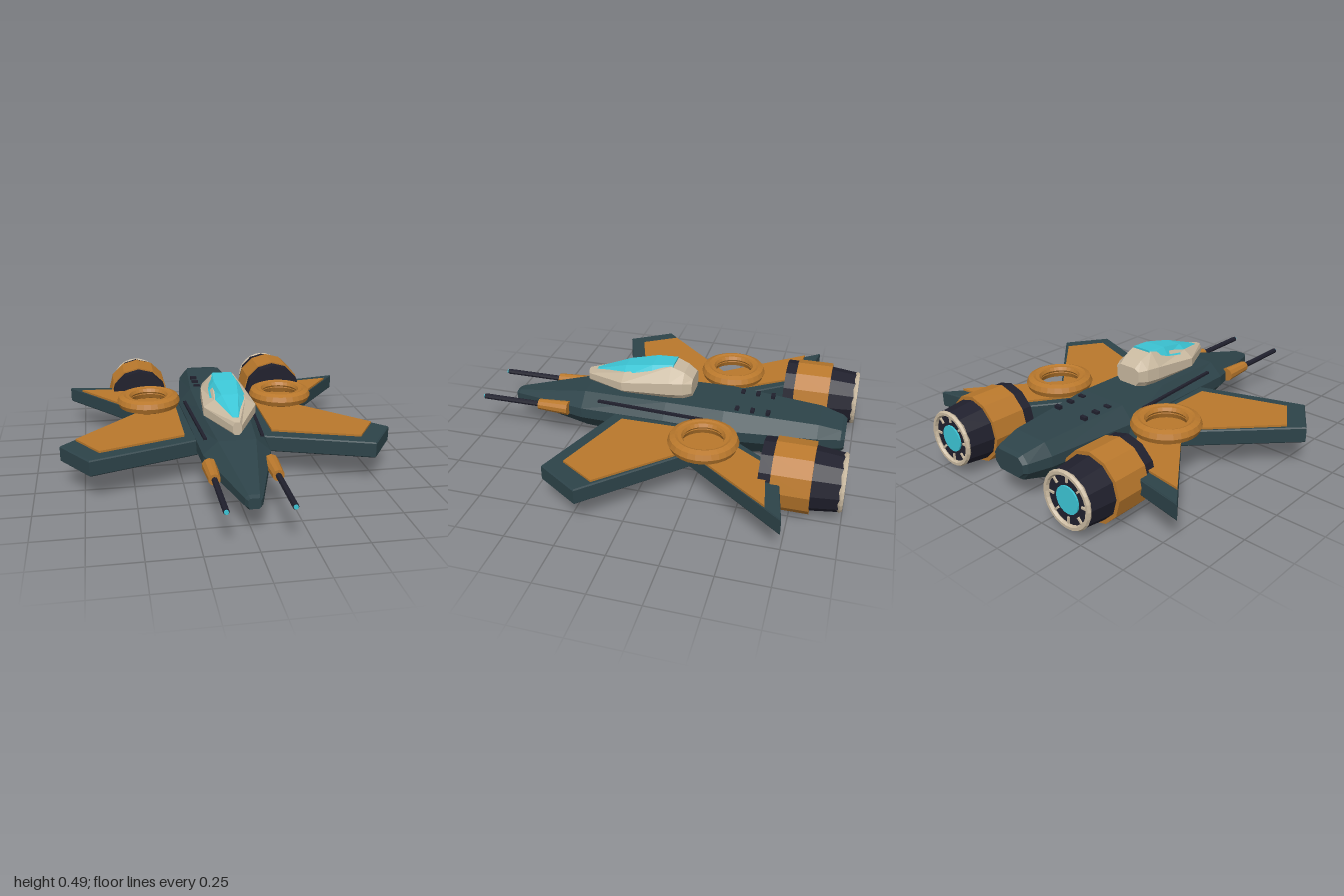
import * as THREE from 'three';

const paint = (name, color, extra = {}) => {
  const m = new THREE.MeshStandardMaterial({ color, ...extra });
  m.name = name;
  return m;
};

// Loft through mirrored sections, front to back; each is [z, [x, y]...] for the +x half, bottom to top
function loft(sections) {
  const rings = sections.map(([z, ...half]) => [
    ...half.map(([x, y]) => [x, y, z]),
    ...half.slice().reverse().map(([x, y]) => [-x, y, z]),
  ]);
  const pos = [];
  const tri = (a, b, c) => pos.push(...a, ...b, ...c);
  const n = rings[0].length;
  for (let r = 0; r < rings.length - 1; r++) {
    const f = rings[r], k = rings[r + 1];
    for (let i = 0; i < n; i++) {
      const j = (i + 1) % n;
      tri(f[i], k[i], k[j]);
      tri(f[i], k[j], f[j]);
    }
  }
  const first = rings[0], last = rings[rings.length - 1];
  for (let i = 1; i < n - 1; i++) {
    tri(first[0], first[i], first[i + 1]);
    tri(last[0], last[i + 1], last[i]);
  }
  const g = new THREE.BufferGeometry();
  g.setAttribute('position', new THREE.Float32BufferAttribute(pos, 3));
  g.computeVertexNormals();
  return g;
}

// Horizontal slab with an [x, z] outline, its top at y
function slab(points, side, y, thickness, bevel = 0) {
  const shape = new THREE.Shape(points.map(([x, z]) => new THREE.Vector2(x * side, z)));
  const g = new THREE.ExtrudeGeometry(shape, {
    depth: thickness - 2 * bevel, bevelEnabled: bevel > 0,
    bevelThickness: bevel, bevelSize: bevel, bevelOffset: -bevel, bevelSegments: 1,
  });
  return g.rotateX(Math.PI / 2).translate(0, y - bevel, 0);
}

// Cylinder along z from zBack to zFront
function tubeZ(rFront, rBack, zFront, zBack, sides = 12) {
  return new THREE.CylinderGeometry(rFront, rBack, zFront - zBack, sides)
    .rotateX(Math.PI / 2).translate(0, 0, (zFront + zBack) / 2);
}

export function createModel() {
  const teal = paint('hull teal', 0x2d4349, { flatShading: true });
  const orange = paint('burnt orange', 0xb9782c, { flatShading: true });
  const dark = paint('dark metal', 0x20202d, { flatShading: true });
  const tan = paint('pale tan', 0xc9b9a0, { flatShading: true });
  const cyan = paint('glass cyan', 0x3cc6d6, { flatShading: true });

  const model = new THREE.Group();
  model.name = 'spacecraft';
  const add = (parent, name, geo, mat, x = 0, y = 0, z = 0) => {
    const m = new THREE.Mesh(geo, mat);
    m.name = name;
    m.position.set(x, y, z);
    parent.add(m);
    return m;
  };

  // Octagonal fuselage tapering to nose and tail
  add(model, 'fuselage', loft([
    [0.86, [0.022, 0.138], [0.03, 0.15], [0.03, 0.18], [0.022, 0.19]],
    [0.84, [0.026, 0.13], [0.042, 0.148], [0.042, 0.185], [0.026, 0.2]],
    [0.42, [0.09, 0.08], [0.17, 0.17], [0.17, 0.225], [0.095, 0.292]],
    [-0.04, [0.105, 0.057], [0.19, 0.175], [0.19, 0.235], [0.13, 0.313]],
    [-0.35, [0.11, 0.06], [0.205, 0.18], [0.205, 0.235], [0.135, 0.313]],
    [-0.83, [0.09, 0.1], [0.147, 0.175], [0.147, 0.23], [0.1, 0.288]],
    [-0.945, [0.075, 0.13], [0.113, 0.175], [0.113, 0.225], [0.08, 0.262]],
    [-0.965, [0.065, 0.145], [0.098, 0.178], [0.098, 0.222], [0.07, 0.25]],
  ]), teal);

  // Cockpit tub and faceted glass
  add(model, 'cockpitTub', loft([
    [0.42, [0.012, 0.32], [0.022, 0.332], [0.022, 0.365], [0.012, 0.385]],
    [0.2, [0.09, 0.317], [0.135, 0.35], [0.135, 0.395], [0.08, 0.43]],
    [-0.05, [0.085, 0.318], [0.115, 0.35], [0.115, 0.415], [0.06, 0.488]],
    [-0.12, [0.08, 0.322], [0.1, 0.35], [0.1, 0.415], [0.055, 0.46]],
    [-0.165, [0.055, 0.33], [0.075, 0.355], [0.075, 0.41], [0.05, 0.425]],
  ]), tan);
  add(model, 'canopyGlass', loft([
    [0.375, [0.032, 0.375], [0.014, 0.395]],
    [0.2, [0.098, 0.412], [0.042, 0.455]],
    [0.05, [0.09, 0.44], [0.06, 0.484]],
    [-0.06, [0.062, 0.48], [0.05, 0.494]],
  ]), cyan);

  // Belly hatch
  add(model, 'bellyHatch', loft([
    [-0.04, [0.085, 0.03], [0.1, 0.04], [0.1, 0.06]],
    [-0.06, [0.09, 0.02], [0.105, 0.032], [0.105, 0.075]],
    [-0.335, [0.09, 0.02], [0.105, 0.032], [0.105, 0.075]],
    [-0.355, [0.085, 0.03], [0.1, 0.04], [0.1, 0.06]],
  ]), dark);

  const wingOutline = [[0.12, 0.21], [0.72, 0.415], [0.865, 0.195], [0.43, -0.245],
    [0.825, -0.75], [0.43, -0.68], [0.2, -0.36], [0.12, -0.25]];
  const panelOutline = [[0.23, 0.17], [0.67, 0.32], [0.785, 0.14], [0.425, -0.235],
    [0.755, -0.665], [0.44, -0.62], [0.23, -0.31]];

  for (const side of [1, -1]) {
    const label = side > 0 ? 'left' : 'right';

    // Forked wing with a raised panel
    add(model, label + 'Wing', slab(wingOutline, side, 0.228, 0.084, 0.006), teal);
    add(model, label + 'WingPanel', slab(panelOutline, side, 0.239, 0.012), orange);

    // Lift ring on the wing
    const lift = new THREE.Group();
    lift.name = label + 'LiftRing';
    lift.position.set(side * 0.38, 0.278, -0.3);
    model.add(lift);
    add(lift, 'outerRing', new THREE.TorusGeometry(0.14, 0.037, 8, 28).rotateX(Math.PI / 2), orange);
    add(lift, 'innerRing', new THREE.TorusGeometry(0.118, 0.019, 6, 28).rotateX(Math.PI / 2), orange, 0, 0.015, 0);

    // Engine pod: intake, cowl, nozzle, rim and glowing core
    const engine = new THREE.Group();
    engine.name = label + 'Engine';
    engine.position.set(side * 0.413, 0.185, 0);
    model.add(engine);
    add(engine, 'intake', tubeZ(0.168, 0.168, -0.602, -0.67), dark);
    add(engine, 'cowl', tubeZ(0.176, 0.176, -0.66, -0.847), orange);
    add(engine, 'nozzle', tubeZ(0.158, 0.142, -0.84, -0.98), dark);
    add(engine, 'nozzleRim', new THREE.TorusGeometry(0.131, 0.014, 6, 24), tan, 0, 0, -0.986);
    add(engine, 'core', tubeZ(0.068, 0.068, -0.975, -0.988, 20), cyan);
    for (let i = 0; i < 8; i++) {
      const spoke = new THREE.BoxGeometry(0.034, 0.01, 0.012).translate(0.103, 0, 0);
      add(engine, 'spoke', spoke, tan, 0, 0, -0.982).rotation.z = (i * Math.PI) / 4;
    }

    // Nose gun
    const gun = new THREE.Group();
    gun.name = label + 'Gun';
    gun.position.set(side * 0.151, 0.204, 0);
    model.add(gun);
    add(gun, 'housing', tubeZ(0.029, 0.038, 0.67, 0.5, 10), orange);
    add(gun, 'barrel', tubeZ(0.015, 0.015, 0.993, 0.65, 8), dark);
    add(gun, 'muzzle', tubeZ(0.011, 0.011, 1, 0.99, 8), cyan);

    // Side groove, top vents and belly skid
    add(model, label + 'Groove', new THREE.BoxGeometry(0.016, 0.012, 0.58), dark, side * 0.163, 0.272, 0.04)
      .rotation.y = -side * 0.06;
    for (const z of [-0.41, -0.49, -0.57]) {
      add(model, label + 'Vent', new THREE.BoxGeometry(0.036, 0.02, 0.02), dark, side * 0.09, 0.309, z);
    }
    add(model, label + 'Skid', new THREE.CapsuleGeometry(0.011, 0.175, 3, 8).rotateX(Math.PI / 2), tan,
      side * 0.113, 0.012, -0.2);
  }
  return model;
}
